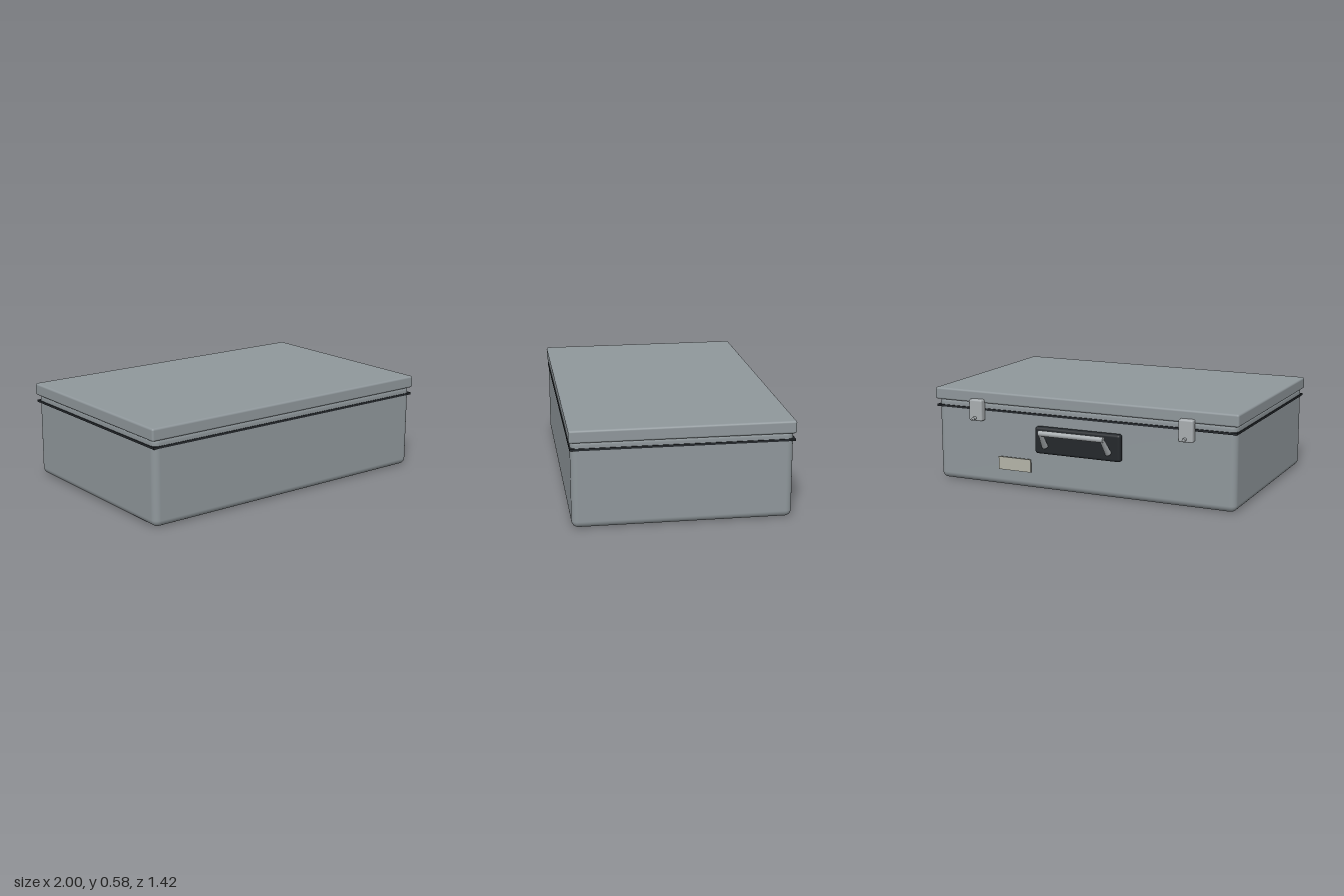
import * as THREE from 'three';
import { RoundedBoxGeometry } from 'three/addons/geometries/RoundedBoxGeometry.js';

export function createModel() {
  const model = new THREE.Group();
  const mat = (color) => new THREE.MeshStandardMaterial({ color });
  const shell = mat(0x8f979b), dark = mat(0x24282c), metal = mat(0xa9aeb1), plate = mat(0xb4b4a8);

  const add = (name, geometry, material, parent = model) => {
    const mesh = new THREE.Mesh(geometry, material);
    mesh.name = name;
    parent.add(mesh);
    return mesh;
  };
  // Box given by its x, y and z ranges; radius 0 keeps sharp edges
  const box = (name, [x0, x1], [y0, y1], [z0, z1], radius, material, parent) => {
    const size = [x1 - x0, y1 - y0, z1 - z0];
    const geometry = radius ? new RoundedBoxGeometry(...size, 5, radius) : new THREE.BoxGeometry(...size);
    const mesh = add(name, geometry, material, parent);
    mesh.position.set((x0 + x1) / 2, (y0 + y1) / 2, (z0 + z1) / 2);
    return mesh;
  };
  // Round rod between two points
  const rod = (name, a, b, rA, rB, material, parent) => {
    const from = new THREE.Vector3(...a), to = new THREE.Vector3(...b);
    const dir = to.clone().sub(from);
    const mesh = add(name, new THREE.CylinderGeometry(rB, rA, dir.length(), 20), material, parent);
    mesh.position.copy(from).add(to).multiplyScalar(0.5);
    mesh.quaternion.setFromUnitVectors(new THREE.Vector3(0, 1, 0), dir.normalize());
    return mesh;
  };

  // Case: rounded body, dark seal and overhanging lid
  box('body', [-0.985, 0.985], [0, 0.53], [-0.57, 0.7], 0.04, shell);
  box('seal', [-0.99, 0.99], [0.462, 0.475], [-0.577, 0.704], 0, dark);
  box('lid', [-1, 1], [0.508, 0.582], [-0.582, 0.709], 0.012, shell);

  // Latches with their pins
  for (const s of [-1, 1]) {
    const latch = new THREE.Group();
    latch.name = s > 0 ? 'leftLatch' : 'rightLatch';
    model.add(latch);
    const x = s * 0.692;
    box('latchBody', [x - 0.045, x + 0.045], [0.4, 0.533], [-0.619, -0.57], 0.01, metal, latch);
    rod('latchPin', [x, 0.42, -0.6], [x, 0.42, -0.645], 0.01, 0.01, metal, latch);
  }

  // Carrying handle on a dark backing plate
  const handle = new THREE.Group();
  handle.name = 'handle';
  model.add(handle);
  box('handlePlate', [-0.283, 0.283], [0.237, 0.403], [-0.617, -0.57], 0.017, dark, handle);
  for (const x of [-0.21, 0.21])
    rod('handleArm', [x, 0.288, -0.622], [x * 0.96, 0.385, -0.694], 0.019, 0.013, metal, handle);
  rod('handleBar', [-0.212, 0.385, -0.694], [0.212, 0.385, -0.694], 0.017, 0.017, metal, handle);

  // Blank name plate
  box('namePlate', [0.32, 0.54], [0.11, 0.19], [-0.606, -0.594], 0, plate);

  return model;
}
